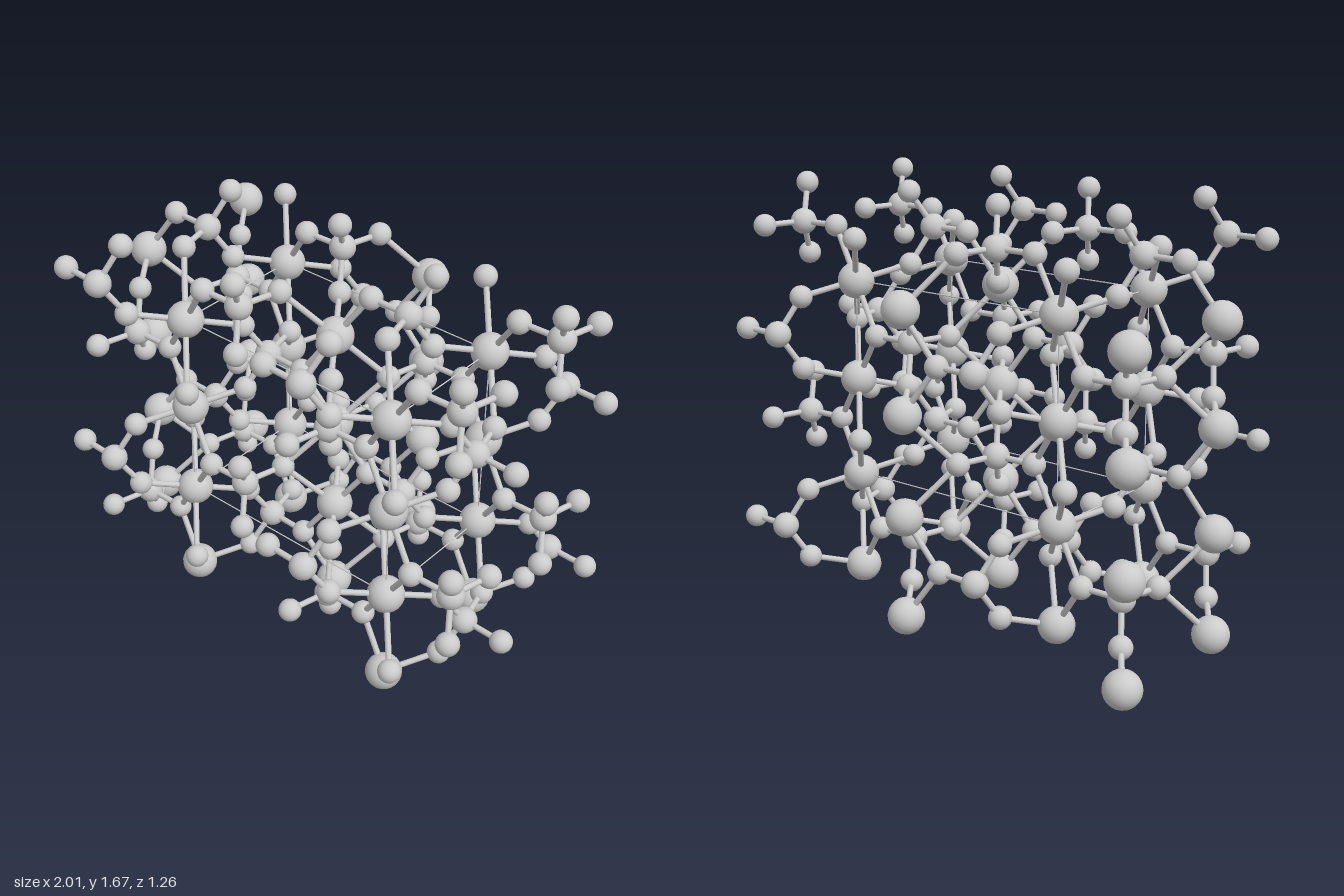
import * as THREE from 'three';

// Unit cell edges, and its corner; the second and third cell axes run along -y and -z
const CELL = new THREE.Vector3(1.01, 0.805, 0.5815);
const ORIGIN = new THREE.Vector3(-0.423, 1.28, 0.3165);

const toWorld = ([u, v, w]) =>
  new THREE.Vector3(ORIGIN.x + u * CELL.x, ORIGIN.y - v * CELL.y, ORIGIN.z - w * CELL.z);

// Symmetry copies of one site, wrapped around the cell corner
function symmetryCopies([x, y, z]) {
  const half = [
    [x, y, z],
    [0.5 - x, -y, z + 0.5],
    [-x, y + 0.5, -z],
    [x + 0.5, 0.5 - y, 0.5 - z],
  ];
  const unique = new Map();
  for (const p of half) {
    for (const sign of [1, -1]) {
      const q = p.map((n) => sign * n - Math.round(sign * n));
      unique.set(q.map((n) => n.toFixed(3)).join(), q);
    }
  }
  return [...unique.values()];
}

// Repeat sites over two cells in each direction
function repeatSites(sites) {
  const points = [];
  for (const [u, v, w] of sites)
    for (const i of [0, 1])
      for (const j of [0, 1])
        for (const k of [0, 1]) points.push(toWorld([u + i, v + j, w + k]));
  return points;
}

export function createModel() {
  const model = new THREE.Group();
  model.name = 'crystalLattice';
  const material = new THREE.MeshStandardMaterial({ color: 0xcccccc });

  function addGroup(name) {
    const group = new THREE.Group();
    group.name = name;
    model.add(group);
    return group;
  }

  function addAtoms(name, points, radius) {
    const group = addGroup(name + 's');
    const geometry = new THREE.IcosahedronGeometry(radius, 3);
    for (const p of points) {
      const atom = new THREE.Mesh(geometry, material);
      atom.name = name;
      atom.position.copy(p);
      group.add(atom);
    }
  }

  const rodGeometry = new THREE.CylinderGeometry(1, 1, 1, 10);
  const up = new THREE.Vector3(0, 1, 0);
  function addRod(group, name, a, b, radius) {
    const rod = new THREE.Mesh(rodGeometry, material);
    const dir = b.clone().sub(a);
    rod.name = name;
    rod.scale.set(radius, dir.length(), radius);
    rod.quaternion.setFromUnitVectors(up, dir.clone().normalize());
    rod.position.copy(a).add(b).multiplyScalar(0.5);
    group.add(rod);
  }

  // Atoms: large metal, medium tetrahedron centres, small oxygens
  const metals = repeatSites([[0, 0, 0], [0, 0.5, 0], [-0.5, 0, 0.5], [-0.5, 0.5, 0.5]]);
  const centres = repeatSites(symmetryCopies([0.1845, 0.25, 0.4453]));
  const oxygens = repeatSites([
    ...symmetryCopies([0.1413, 0.25, 0.7447]),
    ...symmetryCopies([0.3624, 0.25, 0.437]),
    ...symmetryCopies([0.1302, 0.0686, 0.3063]),
  ]);
  addAtoms('metalAtom', metals, 0.073);
  addAtoms('tetrahedronCentre', centres, 0.053);
  addAtoms('oxygenAtom', oxygens, 0.046);

  // Bonds join each oxygen to the neighbours within reach
  function addBonds(name, points, reach) {
    const group = addGroup(name + 's');
    for (const p of points)
      for (const o of oxygens)
        if (p.distanceTo(o) < reach) addRod(group, name, p, o, 0.012);
  }
  addBonds('metalBond', metals, 0.31);
  addBonds('tetrahedronBond', centres, 0.21);

  // Thin outline of one unit cell
  const frame = addGroup('cellOutline');
  for (let axis = 0; axis < 3; axis++) {
    for (const s of [0, 1]) {
      for (const t of [0, 1]) {
        const start = [0, 0, 0];
        start[(axis + 1) % 3] = s;
        start[(axis + 2) % 3] = t;
        const end = [...start];
        end[axis] = 1;
        addRod(frame, 'cellEdge', toWorld(start), toWorld(end), 0.0025);
      }
    }
  }
  return model;
}
